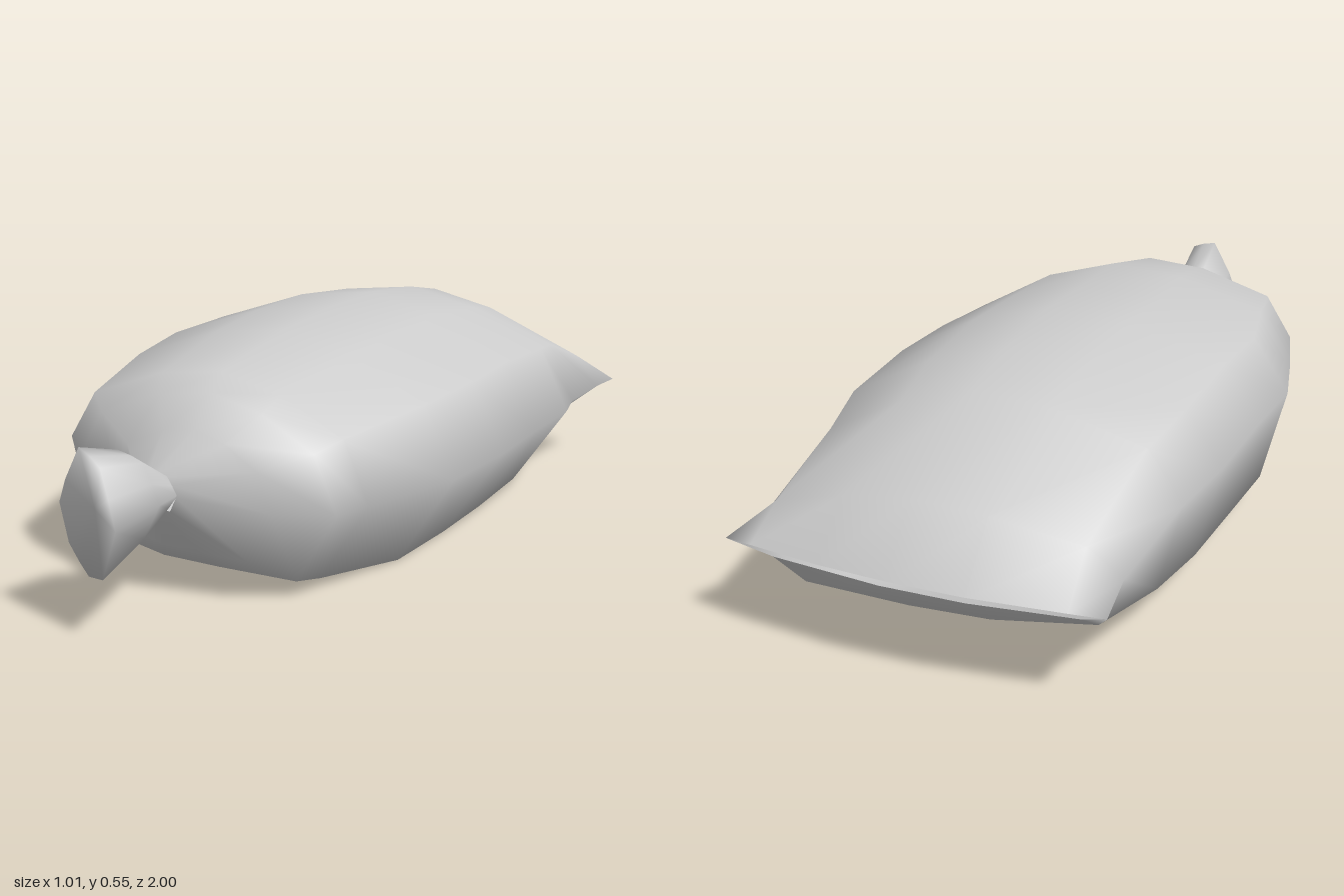
import * as THREE from 'three';

// Unit outlines, from the right side over the top and back underneath
const BODY = [[-1, .15], [-.82, .65], [-.34, .93], [.06, 1], [.44, .82], [.84, .44], [1, -.2], [.7, -1], [.1, -.97], [-.34, -.93], [-.88, -.72]];
const TIP = [[-1, 0], [-.75, .4], [-.2, 1], [.2, .92], [.55, .8], [.8, .35], [1, -.1], [.5, -.95], [0, -1], [-.3, -.85], [-.7, -.6]];

// Lofts closed rings along z; each section is [z, xMin, xMax, yMin, yMax, skew, bow]
function loft(name, sections, outline, capDepth) {
  const n = outline.length, pos = [], index = [];
  for (const [z, x0, x1, y0, y1, skew = 0, bow = 0] of sections) {
    for (const [u, v] of outline) {
      pos.push((x0 + x1) / 2 + u * (x1 - x0) / 2, (y0 + y1) / 2 + v * (y1 - y0) / 2, z + skew * u + bow * u * u);
    }
  }
  for (let i = 0; i < sections.length - 1; i++) {
    for (let j = 0; j < n; j++) {
      const a = i * n + j, b = i * n + (j + 1) % n;
      index.push(a, a + n, b, b, a + n, b + n);
    }
  }
  // Sunken end cap
  if (capDepth !== undefined) {
    const [z, x0, x1, y0, y1] = sections.at(-1), base = (sections.length - 1) * n;
    pos.push((x0 + x1) / 2, (y0 + y1) / 2, z - capDepth);
    for (let j = 0; j < n; j++) index.push(base + n, base + (j + 1) % n, base + j);
  }
  const geometry = new THREE.BufferGeometry();
  geometry.setAttribute('position', new THREE.Float32BufferAttribute(pos, 3));
  geometry.setIndex(index);
  geometry.computeVertexNormals();
  const mesh = new THREE.Mesh(geometry, new THREE.MeshStandardMaterial({ color: 0xcccccc, side: THREE.DoubleSide }));
  mesh.name = name;
  return mesh;
}

export function createModel() {
  const group = new THREE.Group();
  group.name = 'sack';

  // Stuffed body, from the flat sewn seam at the back to the gathered neck
  group.add(loft('sackBody', [
    [-.993, -.355, .505, .222, .235, .04, .045],
    [-.89, -.36, .48, .12, .37, .03, .03],
    [-.62, -.41, .465, .03, .505],
    [-.45, -.455, .495, .025, .535],
    [-.2, -.485, .485, .015, .555],
    [.02, -.51, .47, .01, .545],
    [.25, -.475, .43, .005, .53],
    [.5, -.43, .325, .03, .475],
    [.58, -.35, .285, .045, .445],
    [.65, -.22, .165, .1, .38],
    [.71, -.13, -.03, .21, .29],
  ], BODY));

  // Tied end flaring out from the neck
  group.add(loft('tiedEnd', [
    [.7, -.13, -.03, .21, .29],
    [.8, -.185, -.01, .17, .36, .01],
    [.95, -.19, 0, .135, .4, .045],
  ], TIP, .03));

  return group;
}
